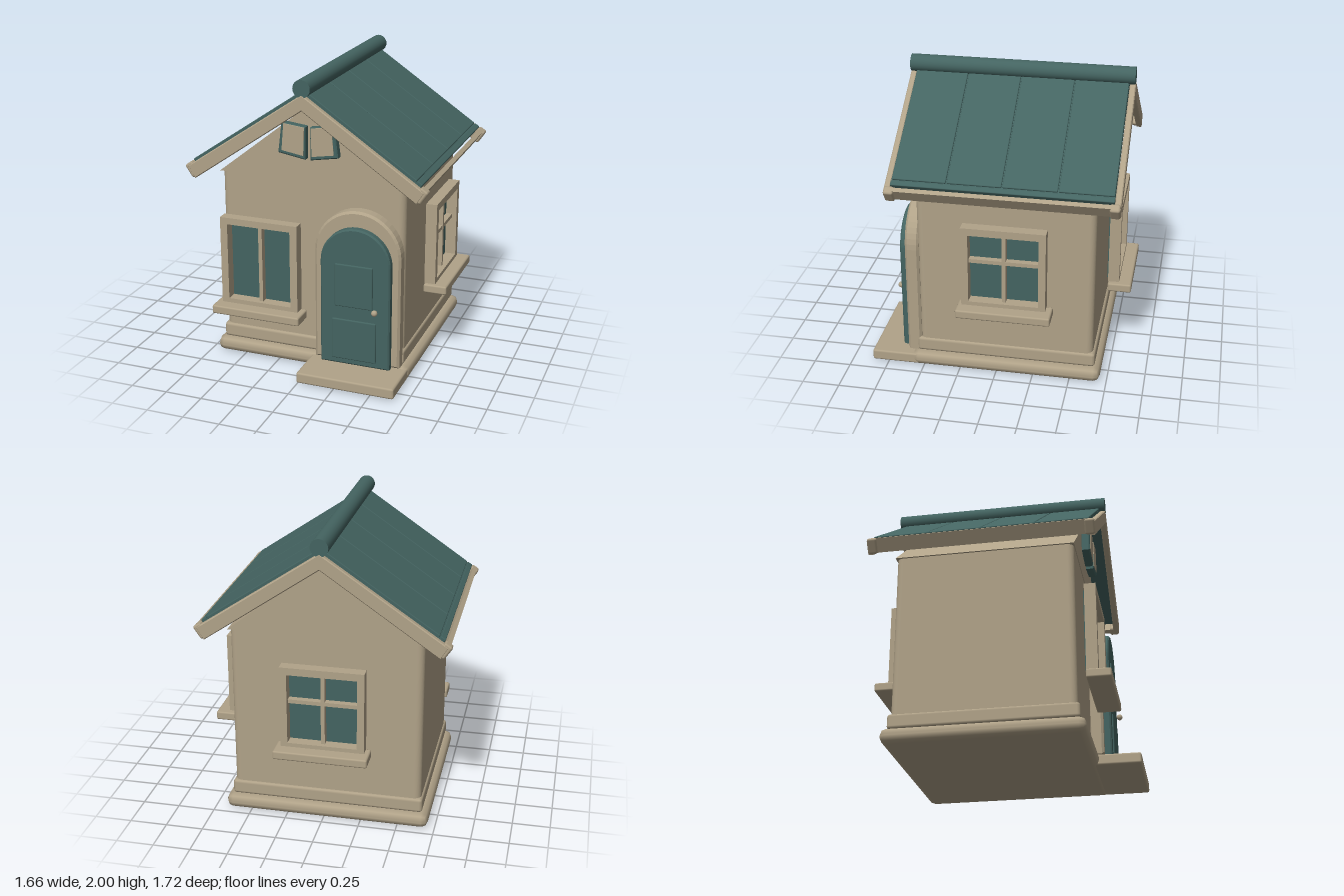
import * as THREE from 'three';
import { RoundedBoxGeometry } from 'three/addons/geometries/RoundedBoxGeometry.js';

const beige = new THREE.MeshStandardMaterial({ color: 0xb0a288 });
beige.name = 'beige plaster and trim';
const teal = new THREE.MeshStandardMaterial({ color: 0x446461 });
teal.name = 'teal roof, door and glass';

function add(parent, name, geometry, material, x = 0, y = 0, z = 0) {
  const mesh = new THREE.Mesh(geometry, material);
  mesh.name = name;
  mesh.position.set(x, y, z);
  parent.add(mesh);
  return mesh;
}

function group(parent, name, x = 0, y = 0, z = 0) {
  const g = new THREE.Group();
  g.name = name;
  g.position.set(x, y, z);
  parent.add(g);
  return g;
}

const box = (w, h, d) => new THREE.BoxGeometry(w, h, d);
const softBox = (w, h, d, r = 0.012) => new RoundedBoxGeometry(w, h, d, 1, r);
const polygon = (points) => new THREE.Shape(points.map(([x, y]) => new THREE.Vector2(x, y)));

// Extrusion from z = 0 to z = depth; the bevel stays inside the outline
function slab(shape, depth, bevel = 0) {
  const geometry = new THREE.ExtrudeGeometry(shape, {
    depth: depth - 2 * bevel,
    bevelEnabled: bevel > 0,
    bevelThickness: bevel,
    bevelSize: bevel,
    bevelOffset: -bevel,
    bevelSegments: 1,
    curveSegments: 12,
  });
  return geometry.translate(0, 0, bevel);
}

// Upright rectangle with a round top, standing on y = 0
function archShape(halfWidth, springY) {
  const s = new THREE.Shape();
  s.moveTo(-halfWidth, 0);
  s.lineTo(halfWidth, 0);
  s.lineTo(halfWidth, springY);
  s.absarc(0, springY, halfWidth, 0, Math.PI, false);
  s.lineTo(-halfWidth, 0);
  return s;
}

function roundedRect(hw, hh, r) {
  const s = new THREE.Shape();
  s.moveTo(-hw + r, -hh);
  s.absarc(hw - r, -hh + r, r, -Math.PI / 2, 0, false);
  s.absarc(hw - r, hh - r, r, 0, Math.PI / 2, false);
  s.absarc(-hw + r, hh - r, r, Math.PI / 2, Math.PI, false);
  s.absarc(-hw + r, -hh + r, r, Math.PI, Math.PI * 1.5, false);
  return s;
}

// Window facing +z: deep frame, recessed bars, glass at the back, sill below
function addWindow(parent, name, o) {
  const g = group(parent, name, o.x, 0, o.z);
  g.rotation.y = o.turn;
  const [holeBottom, holeTop] = o.opening;
  const hw = o.openingHalf;
  const midY = (holeBottom + holeTop) / 2;
  const height = holeTop - holeBottom;
  const frame = polygon([[-o.half, o.bottom], [o.half, o.bottom], [o.half, o.top], [-o.half, o.top]]);
  frame.holes.push(polygon([[-hw, holeBottom], [-hw, holeTop], [hw, holeTop], [hw, holeBottom]]));
  add(g, 'windowFrame', slab(frame, 0.075), beige);
  add(g, 'glass', box(2 * hw + 0.03, height + 0.03, 0.009), teal, 0, midY, -0.0045);
  add(g, 'uprightBar', box(0.026, height, 0.045), beige, 0, midY, 0.0225);
  if (o.barY) add(g, 'crossBar', box(2 * hw, 0.026, 0.043), beige, 0, o.barY, 0.0215);
  add(g, 'sill', softBox(0.625, 0.06, 0.16), beige, o.sillX, o.bottom - 0.03, 0.08);
}

function addDoor(parent) {
  const g = group(parent, 'door', 0.33, 0.1, 0);
  add(g, 'doorSurround', slab(archShape(0.293, 0.765), 0.095, 0.015), beige, 0, 0, 0.52);
  add(g, 'doorLeaf', slab(archShape(0.2375, 0.717), 0.06, 0.01), teal, 0.002, 0, 0.602);
  add(g, 'upperPanel', softBox(0.26, 0.295, 0.024, 0.008), teal, -0.005, 0.5625, 0.66);
  add(g, 'lowerPanel', softBox(0.305, 0.285, 0.024, 0.008), teal, -0.0025, 0.1825, 0.66);
  add(g, 'doorKnob', new THREE.SphereGeometry(0.021, 10, 8), beige, 0.145, 0.41, 0.689);
}

function addRoof(house) {
  const roof = group(house, 'roof');
  const slope = Math.atan2(0.52, 0.765);

  for (const s of [1, -1]) {
    // Each side is built towards +x, then turned about the middle
    const side = group(roof, s > 0 ? 'roofLeft' : 'roofRight');
    side.rotation.y = s > 0 ? 0 : Math.PI;
    const pitch = group(side, 'roofPitch', 0, 1.93, 0);
    pitch.rotation.z = -slope;
    add(pitch, 'roofDeck', box(0.94, 0.035, 1.415), teal, 0.47, -0.0275, 0);
    for (let i = 0; i < 4; i++) {
      add(pitch, 'roofPanel', softBox(0.9, 0.03, 0.349, 0.006), teal, 0.45, -0.015, (i - 1.5) * 0.355);
    }
    add(pitch, 'eaveBatten', softBox(0.038, 0.03, 1.42, 0.006), teal, 0.926, -0.015, 0);

    const fascia = add(side, 'fascia', box(0.03, 0.095, 1.42), beige, 0.775, 1.338, 0);
    fascia.rotation.z = -slope;
    for (const z of [0.715, -0.715]) {
      const cap = add(side, 'eaveCap', softBox(0.06, 0.1, 0.066, 0.014), beige, 0.777, 1.335, z);
      cap.rotation.z = -slope;
    }
  }

  // Chevron boards on both gable ends
  const chevron = polygon([[0, 1.905], [-0.805, 1.36], [-0.755, 1.28], [0, 1.8], [0.755, 1.28], [0.805, 1.36]]);
  for (const z of [0.71, -0.75]) add(roof, 'bargeBoard', slab(chevron, 0.04, 0.006), beige, 0, 0, z);

  const ridge = add(roof, 'ridgeRoll', new THREE.CylinderGeometry(0.058, 0.058, 1.495, 24), teal, 0, 1.942, 0);
  ridge.rotation.x = Math.PI / 2;
}

// Pair of small shutters below the front peak
function addShutters(house) {
  const outer = [[0.015, 1.67], [0.018, 1.455], [0.205, 1.487], [0.18, 1.69]];
  const inner = [[0.022, 1.668], [0.029, 1.482], [0.178, 1.507], [0.163, 1.684]];
  for (const s of [1, -1]) {
    const g = group(house, s > 0 ? 'shutterLeft' : 'shutterRight', 0, 0, 0.59);
    const mirrored = (points) => polygon(points.map(([x, y]) => [s * x, y]));
    add(g, 'shutterFrame', slab(mirrored(outer), 0.06, 0.008), teal);
    add(g, 'shutterPanel', slab(mirrored(inner), 0.008), beige, 0, 0, 0.056);
  }
}

export function createModel() {
  const model = new THREE.Group();
  model.name = 'cottage';
  const house = group(model, 'house', -0.015, 0, -0.06);

  // Stepped base and front step
  add(house, 'foundation', softBox(1.38, 0.1, 1.29, 0.045), beige, 0, 0.05, 0);
  add(house, 'plinth', softBox(1.296, 0.1, 1.214, 0.02), beige, 0, 0.15, 0);
  add(model, 'frontStep', softBox(0.67, 0.075, 0.36, 0.014), beige, 0.33, 0.0455, 0.68);

  // Walls with rounded corners, and the gable block above them
  const walls = add(house, 'walls', slab(roundedRect(0.635, 0.59, 0.045), 1.25), beige, 0, 0.05, 0);
  walls.rotation.x = -Math.PI / 2;
  const gable = polygon([[-0.648, 1.3], [0.648, 1.3], [0, 1.81]]);
  add(house, 'gable', slab(gable, 1.19), beige, 0, 0, -0.595);

  addRoof(house);
  addShutters(house);
  addDoor(model);

  // Windows at the front, the left side and the back
  addWindow(model, 'frontWindow', {
    x: -0.3425, z: 0.585, turn: 0, half: 0.2725, bottom: 0.415, top: 1.02,
    openingHalf: 0.2225, opening: [0.445, 0.975], sillX: 0,
  });
  const crossWindow = {
    half: 0.2775, bottom: 0.56, top: 1.12,
    openingHalf: 0.23, opening: [0.587, 1.07], barY: 0.872,
  };
  addWindow(model, 'sideWindow', { ...crossWindow, x: 0.665, z: -0.0675, turn: Math.PI / 2, sillX: 0.0075 });
  addWindow(model, 'backWindow', { ...crossWindow, x: -0.015, z: -0.702, turn: Math.PI, sillX: 0 });

  return model;
}
